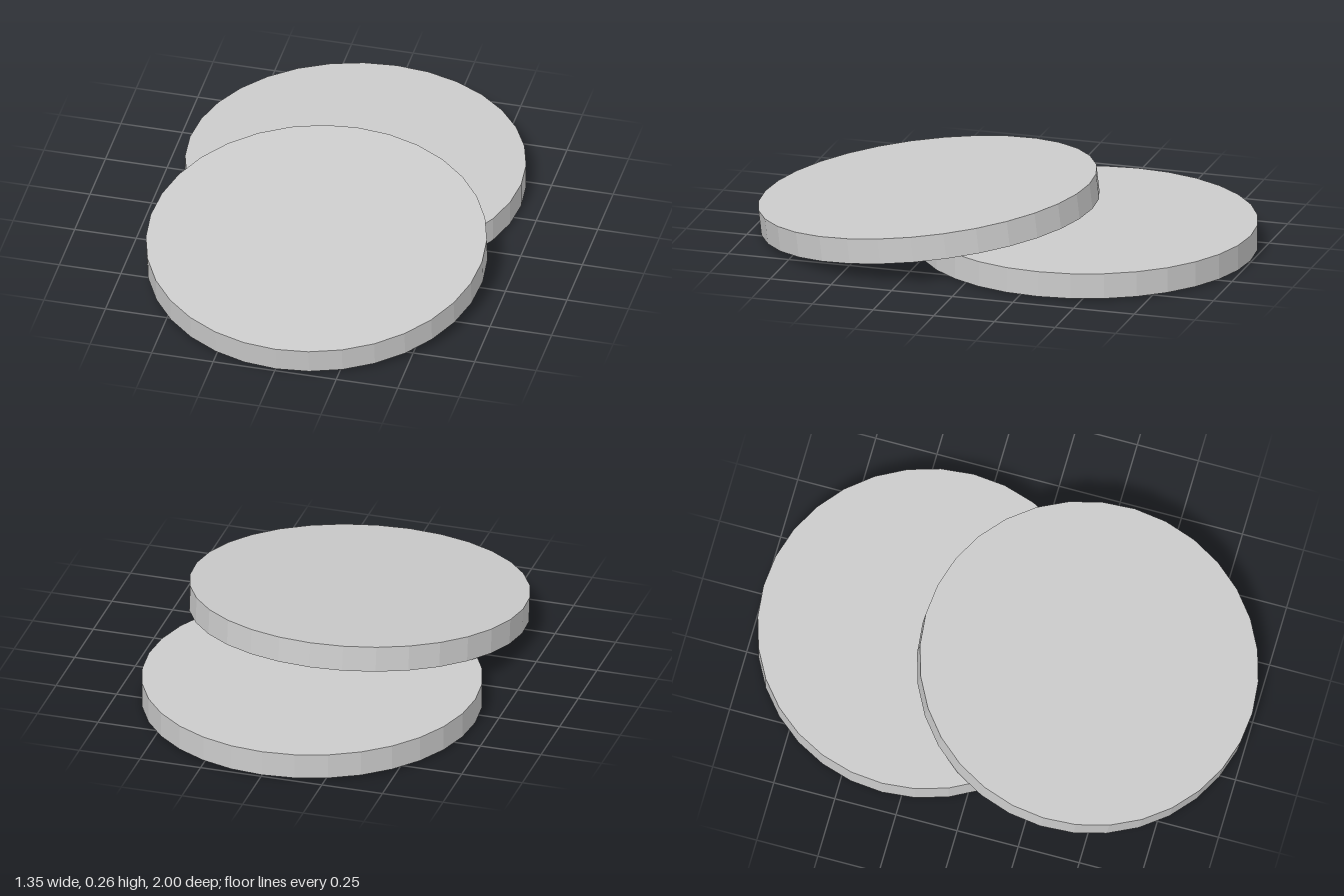
import * as THREE from 'three';

export function createModel() {
  const group = new THREE.Group();
  const material = new THREE.MeshStandardMaterial({ color: 0xcccccc, flatShading: true });
  const geometry = new THREE.CylinderGeometry(0.673, 0.673, 0.103, 32);

  const addDisc = (name, x, y, z, tilt) => {
    const disc = new THREE.Mesh(geometry, material);
    disc.name = name;
    disc.position.set(x, y, z);
    disc.rotation.x = tilt;
    group.add(disc);
  };

  // disc lying flat at the back
  addDisc('flatDisc', -0.003, 0.059, -0.327, 0);
  // disc leaning on it, its front edge on the ground
  addDisc('leaningDisc', 0.002, 0.132, 0.325, 0.119);

  return group;
}
